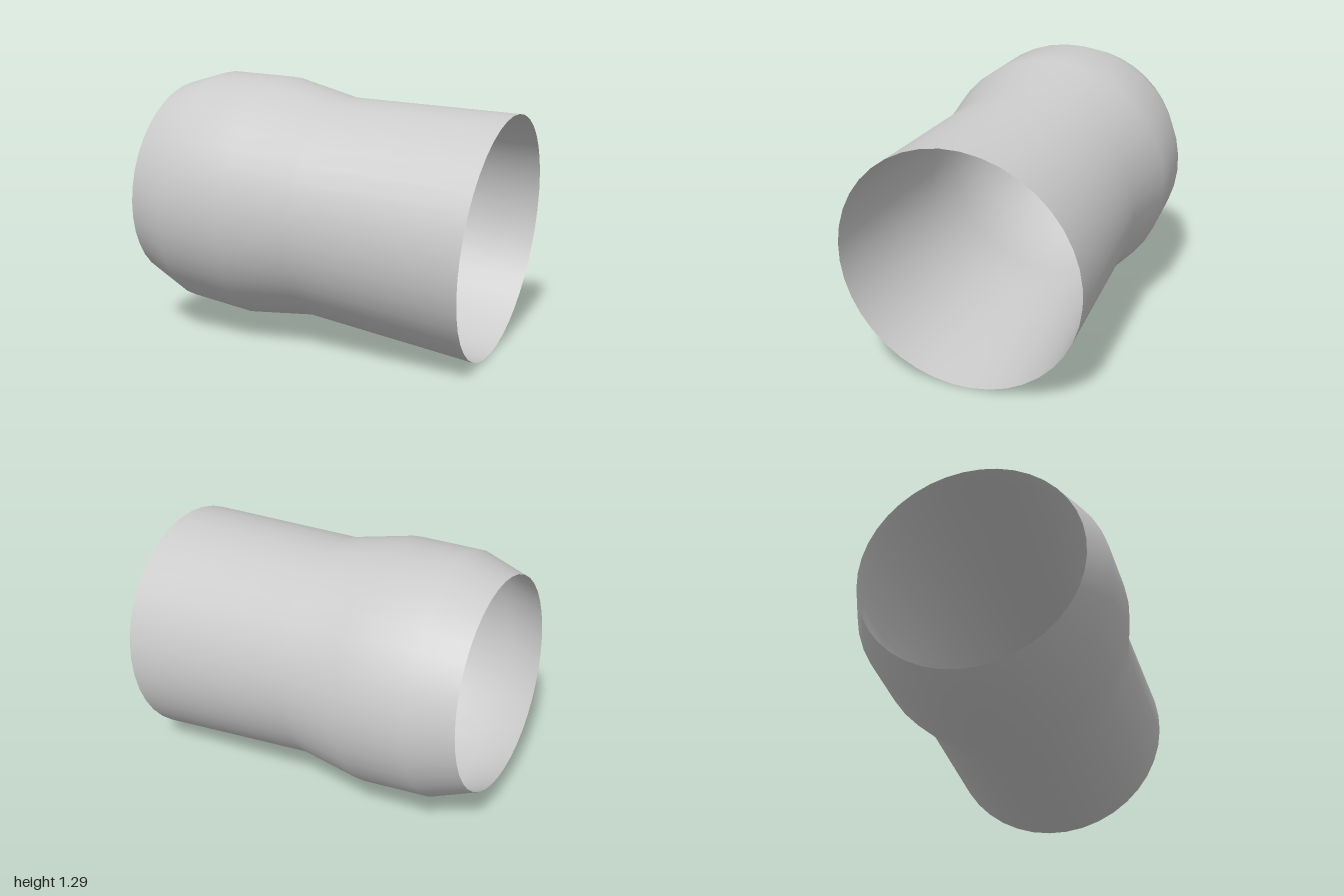
import * as THREE from 'three';

export function createModel() {
  const group = new THREE.Group();
  group.name = 'pipeSleeve';

  // Axis of the sleeve, from the front opening to the back opening
  const front = new THREE.Vector3(0.28, 0.583, 0.785);
  const back = new THREE.Vector3(-0.345, 0.72, -0.81);
  const axis = back.clone().sub(front).normalize();

  // Profile as radius and distance along the axis: tapered tube, then bulged collar
  const profile = [
    [0.584, 0],
    [0.547, 0.846],
    [0.604, 1.175],
    [0.59, 1.509],
    [0.512, 1.718],
  ].map(([r, d]) => new THREE.Vector2(r, d));

  // Thin open shell, seen from inside and outside
  const material = new THREE.MeshStandardMaterial({ color: 0xcccccc, side: THREE.DoubleSide });
  const sleeve = new THREE.Mesh(new THREE.LatheGeometry(profile, 40), material);
  sleeve.name = 'sleeve';
  sleeve.position.copy(front);
  sleeve.quaternion.setFromUnitVectors(new THREE.Vector3(0, 1, 0), axis);
  group.add(sleeve);

  return group;
}
